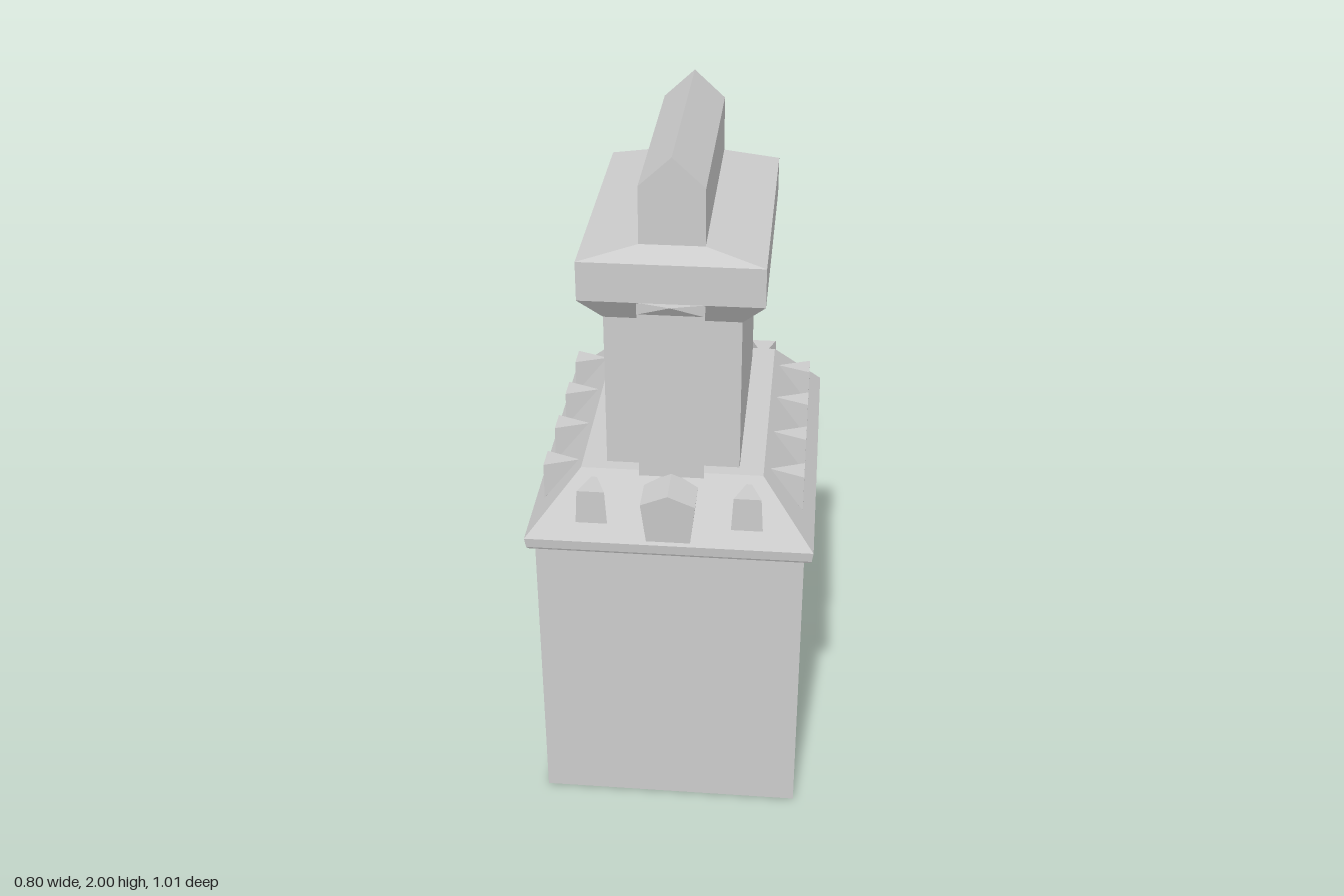
import * as THREE from 'three';
import { ConvexGeometry } from 'three/addons/geometries/ConvexGeometry.js';

const material = new THREE.MeshStandardMaterial({ color: 0xcccccc, flatShading: true });

function add(parent, name, geometry) {
  const mesh = new THREE.Mesh(geometry, material);
  mesh.name = name;
  parent.add(mesh);
  return mesh;
}

// Solid with rectangular sections, each [y, half width, half depth], from bottom to top.
function loft(sections) {
  const pos = [];
  const rings = sections.map(([y, w, d]) => [[-w, y, d], [w, y, d], [w, y, -d], [-w, y, -d]]);
  const quad = (a, b, c, d) => pos.push(...a, ...b, ...c, ...a, ...c, ...d);
  for (let i = 0; i < rings.length - 1; i++) {
    for (let k = 0; k < 4; k++) {
      const n = (k + 1) % 4;
      quad(rings[i][k], rings[i][n], rings[i + 1][n], rings[i + 1][k]);
    }
  }
  const top = rings[rings.length - 1];
  quad(...top);
  quad(...[...rings[0]].reverse());
  const geometry = new THREE.BufferGeometry();
  geometry.setAttribute('position', new THREE.Float32BufferAttribute(pos, 3));
  geometry.computeVertexNormals();
  return geometry;
}

const hull = (points) => new ConvexGeometry(points.map((p) => new THREE.Vector3(...p)));

// Shape in the xy plane, pulled along z and centred.
function prism(points, depth) {
  const shape = new THREE.Shape(points.map(([x, y]) => new THREE.Vector2(x, y)));
  return new THREE.ExtrudeGeometry(shape, { depth, bevelEnabled: false }).translate(0, 0, -depth / 2);
}

export function createModel() {
  const model = new THREE.Group();
  model.name = 'tower';

  // Main block and sloping skirt roof
  add(model, 'base', loft([[0, 0.375, 0.47], [0.9, 0.375, 0.47]]));
  add(model, 'skirtRoof', loft([
    [0.893, 0.392, 0.489], [0.9, 0.396, 0.493], [0.93, 0.4, 0.497], [1.095, 0.253, 0.373],
  ]));

  // Upper block with flared cornice
  add(model, 'upperBlock', loft([
    [1.08, 0.185, 0.335], [1.545, 0.185, 0.335], [1.615, 0.247, 0.387],
    [1.725, 0.247, 0.387], [1.762, 0.087, 0.343],
  ]));

  // Gabled ridge
  add(model, 'ridge', prism(
    [[-0.087, 1.75], [0.087, 1.75], [0.087, 1.92], [0, 2], [-0.087, 1.92]], 0.686));

  // Front panel, narrower behind its face, with a pointed canopy
  const plan = [[-0.09, -0.385], [0.09, -0.385], [0.075, -0.368], [0.075, -0.32],
    [-0.075, -0.32], [-0.075, -0.368]];
  const panel = prism(plan, 0.505);
  panel.rotateX(-Math.PI / 2).translate(0, 1.3375, 0);
  add(model, 'frontPanel', panel);
  add(model, 'panelCanopy', hull([
    [-0.09, 1.615, 0.385], [0, 1.615, 0.41], [0.09, 1.615, 0.385],
    [-0.09, 1.58, 0.384], [0.09, 1.58, 0.384], [0.09, 1.615, 0.34], [-0.09, 1.615, 0.34],
  ]));

  // Pentagonal dormer at front and back
  const outline = [[-0.06, 0.93, 0.49], [0.06, 0.93, 0.49], [0.075, 1.062, 0.5],
    [0, 1.095, 0.503], [-0.075, 1.062, 0.5]];
  const dormer = hull([...outline, ...outline.map(([x, y]) => [x, y, 0.37])]);
  add(model, 'frontDormer', dormer);
  add(model, 'backDormer', dormer).rotation.y = Math.PI;

  // Small wedge dormers around the skirt: upright outer face, running back to a point
  const wedge = hull([
    [-0.038, 1.075, 0], [0.038, 1.075, 0], [0.044, 0.97, 0], [-0.044, 0.97, 0],
    [0, 1.075, -0.097], [0, 0.97, -0.05],
  ]);
  for (const side of [1, -1]) {
    for (const z of [-0.304, -0.102, 0.1, 0.302]) {
      const mesh = add(model, 'sideWedge', wedge);
      mesh.position.set(side * 0.365, 0, z);
      mesh.rotation.y = side * Math.PI / 2;
    }
    for (const x of [-0.215, 0.215]) {
      const mesh = add(model, 'endWedge', wedge);
      mesh.position.set(x, 0, side * 0.465);
      mesh.rotation.y = side > 0 ? 0 : Math.PI;
    }
  }
  return model;
}
